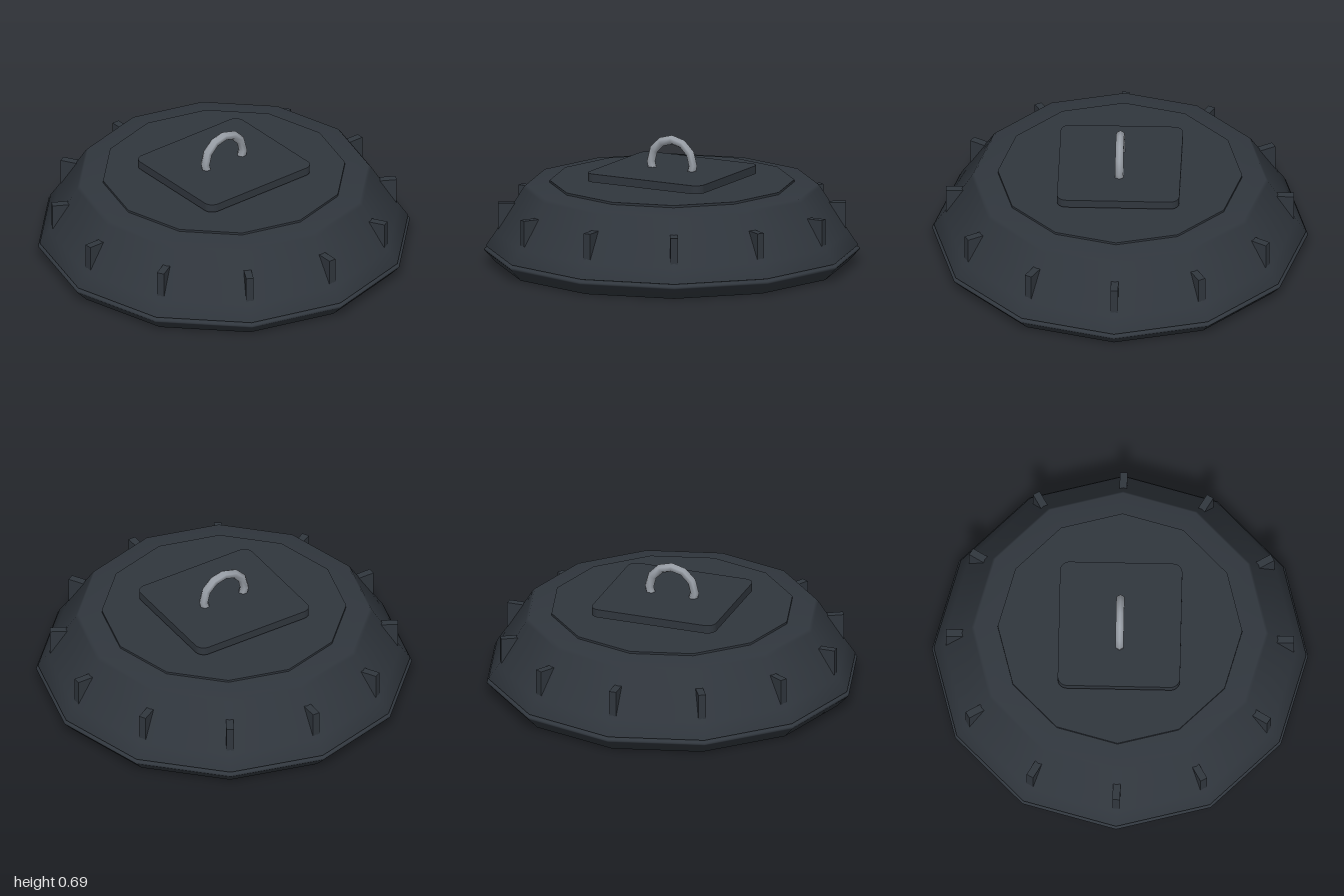
import * as THREE from 'three';

const SIDES = 12;
const material = (color, side = THREE.FrontSide) => new THREE.MeshStandardMaterial({ color, side });

export function createModel() {
  const lamp = new THREE.Group();
  lamp.name = 'highBayLamp';

  const dark = material(0x30363d);
  const darkOpen = material(0x30363d, THREE.DoubleSide);
  const metal = material(0x9aa0a8, THREE.DoubleSide);
  const panelGrey = material(0x777777);
  const hubGrey = material(0x5a6068);
  const amber = material(0xb09a50);

  const add = (name, geometry, mat, parent = lamp) => {
    const mesh = new THREE.Mesh(geometry, mat);
    mesh.name = name;
    parent.add(mesh);
    return mesh;
  };
  const lathe = (points) =>
    new THREE.LatheGeometry(points.map(([r, y]) => new THREE.Vector2(r, y)), SIDES);

  // Twelve-sided housing, open below
  add('housing', lathe([[0.97, 0.085], [0.99, 0.09], [0.94, 0.165], [0.79, 0.405], [0.775, 0.422], [0.63, 0.435]]), darkOpen);

  // Bottom rim with a bevelled outer edge and a sloping inner lip
  add('rim', lathe([[0.87, 0.035], [0.925, 0.003], [0.935, 0], [0.995, 0.063], [1, 0.07], [0.995, 0.077], [0.97, 0.085]]), darkOpen);

  // Lid and mounting plate
  add('lid', new THREE.CylinderGeometry(0.65, 0.65, 0.017, SIDES), dark).position.y = 0.437;

  const w = 0.35, d = 0.325, r = 0.05;
  const outline = new THREE.Shape();
  outline.absarc(w - r, d - r, r, 0, Math.PI / 2);
  outline.absarc(-w + r, d - r, r, Math.PI / 2, Math.PI);
  outline.absarc(-w + r, -d + r, r, Math.PI, Math.PI * 1.5);
  outline.absarc(w - r, -d + r, r, Math.PI * 1.5, Math.PI * 2);
  const plate = new THREE.ExtrudeGeometry(outline, { depth: 0.045, bevelEnabled: false, curveSegments: 4 });
  plate.rotateX(-Math.PI / 2);
  add('mountingPlate', plate, dark).position.y = 0.461;

  // Hanging ring
  add('hangingRing', new THREE.TorusGeometry(0.128, 0.025, 6, 12), metal).position.y = 0.535;

  // Cooling fins at the housing corners
  const fins = new THREE.Group();
  fins.name = 'coolingFins';
  lamp.add(fins);
  const finGeometry = new THREE.BoxGeometry(0.04, 0.14, 0.125).translate(0, 0.255, 0.8625);
  for (let i = 0; i < SIDES; i++) {
    add('fin', finGeometry, dark, fins).rotation.y = (i / SIDES) * Math.PI * 2;
  }

  // Underside: trim ring, light panel and hub
  add('trimRing', lathe([[0.84, 0.04], [0.845, 0.03], [0.865, 0.03], [0.875, 0.04]]), metal);
  add('lightPanel', new THREE.CylinderGeometry(0.85, 0.85, 0.02, SIDES), panelGrey).position.y = 0.046;
  add('hub', new THREE.CylinderGeometry(0.105, 0.105, 0.012, 24), hubGrey).position.y = 0.034;

  // Three rings of small lights facing down
  const lights = new THREE.Group();
  lights.name = 'lights';
  lamp.add(lights);
  const bezelGeometry = new THREE.CylinderGeometry(0.035, 0.027, 0.012, 12);
  const bulbGeometry = new THREE.CylinderGeometry(0.012, 0.012, 0.006, 8);
  for (const [count, radius] of [[12, 0.37], [20, 0.56], [36, 0.755]]) {
    for (let i = 0; i < count; i++) {
      const a = ((i + 0.5) / count) * Math.PI * 2;
      const x = Math.sin(a) * radius, z = Math.cos(a) * radius;
      add('bezel', bezelGeometry, panelGrey, lights).position.set(x, 0.031, z);
      add('bulb', bulbGeometry, amber, lights).position.set(x, 0.024, z);
    }
  }
  return lamp;
}
